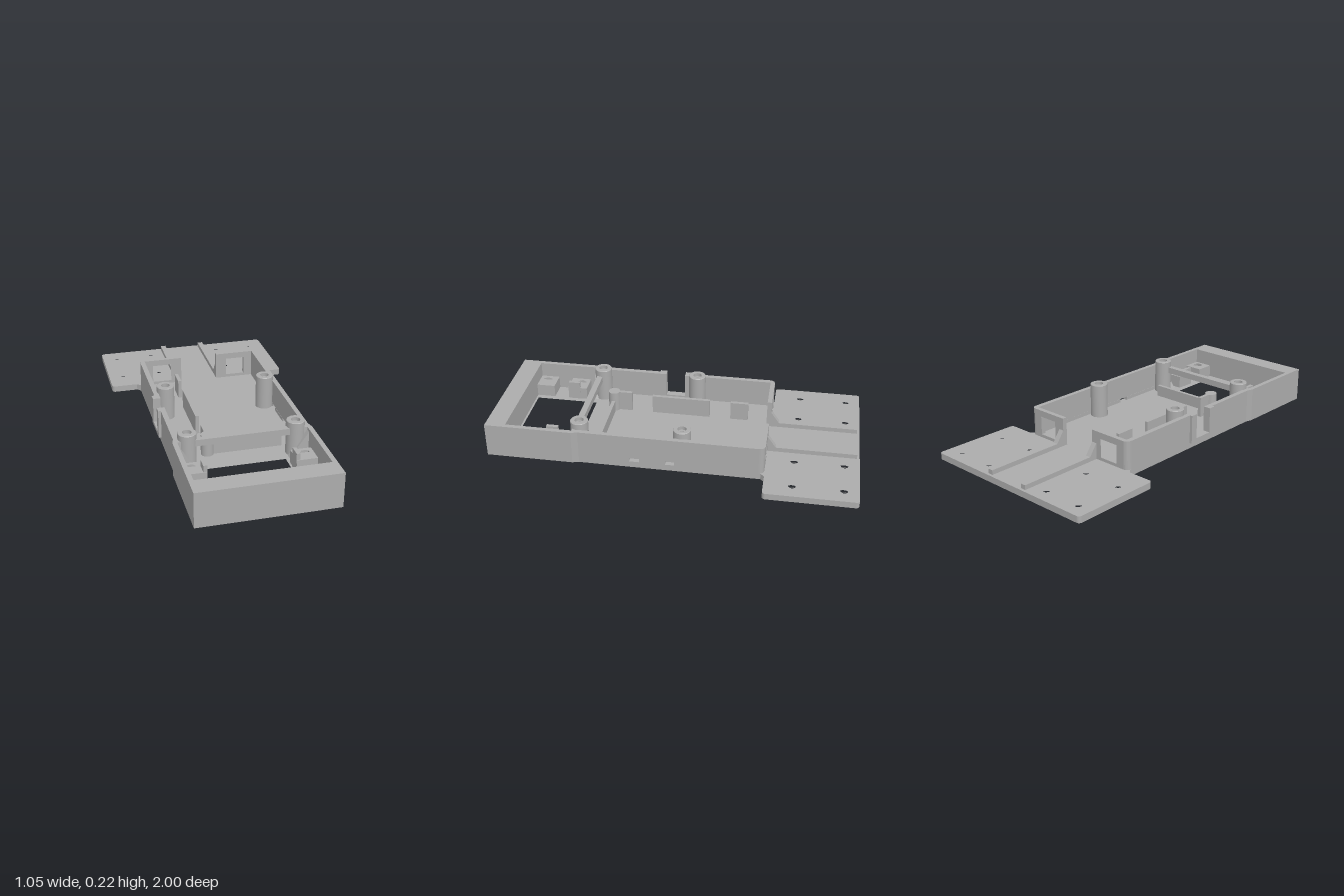
import * as THREE from 'three';

export function createModel() {
  const model = new THREE.Group();
  model.name = 'electronicsTray';
  const grey = new THREE.MeshStandardMaterial({ color: 0xacacac });
  grey.name = 'grey plastic';
  const greyOpen = grey.clone();
  greyOpen.name = 'grey plastic';
  greyOpen.side = THREE.DoubleSide;

  const add = (name, geo, mat = grey) => {
    const m = new THREE.Mesh(geo, mat);
    m.name = name;
    model.add(m);
    return m;
  };
  const box = (name, x0, x1, y0, y1, z0, z1) =>
    add(name, new THREE.BoxGeometry(x1 - x0, y1 - y0, z1 - z0)
      .translate((x0 + x1) / 2, (y0 + y1) / 2, (z0 + z1) / 2));
  const poly = (pts) => new THREE.Shape(pts.map(([a, b]) => new THREE.Vector2(a, b)));
  // round or polygonal outline in plan
  const ring = (x, z, r, n = 24) => Array.from({ length: n }, (_, i) => {
    const a = (i / n) * Math.PI * 2;
    return [x + r * Math.cos(a), z + r * Math.sin(a)];
  });
  const rect = (x0, x1, z0, z1) => [[x0, z0], [x1, z0], [x1, z1], [x0, z1]];
  // plan outline [x, z] raised from y0 to y1
  const slab = (name, pts, holes, y0, y1) => {
    const flip = (p) => p.map(([x, z]) => [x, -z]);
    const s = poly(flip(pts));
    s.holes = holes.map((h) => poly(flip(h)));
    const g = new THREE.ExtrudeGeometry(s, { depth: y1 - y0, bevelEnabled: false });
    return add(name, g.rotateX(-Math.PI / 2).translate(0, y0, 0));
  };
  const arc = (cx, cz, r, a0, a1, n = 6) => Array.from({ length: n + 1 }, (_, i) => {
    const a = a0 + ((a1 - a0) * i) / n;
    return [cx + r * Math.cos(a), cz + r * Math.sin(a)];
  });
  const mirror = (pts) => pts.map(([x, z]) => [-x, z]);

  const F = 0.035, TOP = 0.19, Q = Math.PI / 2;

  // Base plate with mounting flange, in two layers so the underside can be recessed
  const half = [
    ...arc(0.505, -0.982, 0.018, -Q, 0), ...arc(0.505, -0.525, 0.018, 0, Q),
    [0.375, -0.507], [0.355, -0.487], [0.355, 0.49], [0.365, 0.525], [0.365, 1],
  ];
  const outline = [...half, ...mirror(half).reverse()];
  const screws = [], nuts = [];
  for (const s of [-1, 1]) {
    for (const x of [0.215, 0.435]) for (const z of [-0.92, -0.655]) screws.push([s * x, z]);
    for (const z of [0.635, 0.845]) nuts.push([s * 0.295, z]);
  }
  const opening = rect(-0.23, 0.23, 0.525, 0.89);
  const nutHoles = nuts.map(([x, z]) => ring(x, z, 0.015));
  slab('basePlateLower', outline,
    [opening, ...nutHoles, ring(0, 0.3, 0.075, 40), ...screws.map(([x, z]) => ring(x, z, 0.034))], 0, 0.015);
  slab('basePlateUpper', outline,
    [opening, ...nutHoles, ...screws.map(([x, z]) => ring(x, z, 0.02))], 0.015, F);
  for (const [x, z] of screws) {
    add('countersink', new THREE.CylinderGeometry(0.02, 0.034, 0.015, 24, 1, true)
      .translate(x, 0.0075, z), greyOpen);
  }

  // Front frame: thick front wall with thin sides
  slab('frontFrame', [
    [-0.365, 0.525], [-0.34, 0.525], [-0.34, 0.89], [0.34, 0.89], [0.34, 0.525],
    [0.365, 0.525], [0.365, 1], [-0.365, 1],
  ], [], F, TOP);

  // Side walls with rounded back corners
  const sideWall = (z1) => [
    [0.3, -0.505], ...arc(0.325, -0.475, 0.03, -Q, 0),
    ...(z1 > 0.5 ? [[0.355, 0.49], [0.365, z1], [0.33, z1]] : [[0.355, z1], [0.328, z1]]),
    [0.328, -0.48], [0.3, -0.48],
  ];
  slab('leftWallUpper', sideWall(0.525), [], 0.055, TOP);
  slab('leftWallLowerBack', sideWall(-0.03), [], F, 0.055);
  box('leftWallLowerMiddle', 0.328, 0.355, F, 0.055, 0.02, 0.16);
  slab('leftWallLowerFront',
    [[0.328, 0.215], [0.355, 0.215], [0.355, 0.49], [0.365, 0.525], [0.328, 0.525]], [], F, 0.055);
  slab('rightWallBack', mirror(sideWall(0.02)), [], F, TOP);
  slab('rightWallFront',
    [[-0.328, 0.13], [-0.355, 0.13], [-0.355, 0.49], [-0.365, 0.525], [-0.328, 0.525]], [], F, TOP);

  // Connector notch in the right wall
  box('notchJamb', -0.37, -0.33, 0.03, TOP, -0.02, 0.02);
  box('notchJamb', -0.37, -0.33, 0.03, TOP, 0.13, 0.17);
  box('notchSill', -0.37, -0.33, 0.03, 0.05, 0.02, 0.13);

  for (const s of [-1, 1]) {
    // Back wall panel with square window
    const panel = poly([[0.108, F], [0.3, F], [0.3, TOP], [0.108, TOP]].map(([x, y]) => [s * x, y]));
    panel.holes.push(poly(rect(0.17, 0.28, 0.052, 0.155).map(([x, y]) => [s * x, y])));
    add('backWallPanel', new THREE.ExtrudeGeometry(panel, { depth: 0.025, bevelEnabled: false })
      .translate(0, 0, -0.505));

    // Flange rail rising into a gusset at the back wall
    const rail = poly([[0.985, F], [0.985, 0.06], [0.55, 0.06], [0.5, 0.13], [0.48, 0.13], [0.48, F]]);
    add('flangeRail', new THREE.ExtrudeGeometry(rail, { depth: 0.03, bevelEnabled: false })
      .rotateY(Q).translate(s * 0.123 - 0.015, 0, 0));

    // Screw bosses
    for (const z of [-0.06, 0.495]) {
      const b = [[0.013, F], [0.013, 0.205], [0.024, 0.205], [0.024, 0.225], [0.045, 0.225], [0.048, 0.222], [0.048, F]];
      const pts = [];
      b.reverse().forEach(([r, y]) => pts.push(new THREE.Vector2(r, y), new THREE.Vector2(r, y)));
      add('screwBoss', new THREE.LatheGeometry(pts, 32).translate(s * 0.285, 0, z), greyOpen);
    }

    // Triangular brace between the side wall and the cross bar
    const brace = poly([[0.24, F], [0.34, F], [0.34, 0.175]].map(([x, y]) => [s * x, y]));
    add('sideBrace', new THREE.ExtrudeGeometry(brace, { depth: 0.03, bevelEnabled: false })
      .translate(0, 0, 0.525));
    box('crossBarPost', s < 0 ? -0.335 : 0.25, s < 0 ? -0.25 : 0.335, F, TOP, 0.495, 0.525);
    box('padTab', s * 0.238 - 0.01, s * 0.238 + 0.01, F, 0.14, 0.63, 0.695);
  }
  box('crossBar', -0.33, 0.33, 0.155, TOP, 0.492, 0.525);

  // Nut pads with hexagonal pockets
  for (const [x, z] of nuts) {
    const z0 = z < 0.7 ? 0.59 : 0.785, z1 = z < 0.7 ? 0.7 : 0.89;
    const pad = rect(x < 0 ? -0.34 : 0.23, x < 0 ? -0.23 : 0.34, z0, z1);
    slab('nutPadLower', pad, [ring(x, z, 0.015)], F, 0.08);
    slab('nutPadUpper', pad, [ring(x, z, 0.029, 6)], 0.08, 0.105);
  }

  // Upright dividers on the floor
  box('dividerBack', -0.17, -0.15, F, 0.14, -0.37, -0.27);
  box('dividerMiddle', -0.17, -0.15, F, 0.14, -0.15, 0.18);
  box('dividerFront', -0.17, -0.15, F, 0.15, 0.3, 0.4);
  add('dividerPost', new THREE.CylinderGeometry(0.033, 0.033, 0.115, 28).translate(-0.16, 0.0925, 0.405));
  box('crossDivider', -0.14, 0.24, F, 0.1, 0.395, 0.415);

  return model;
}
